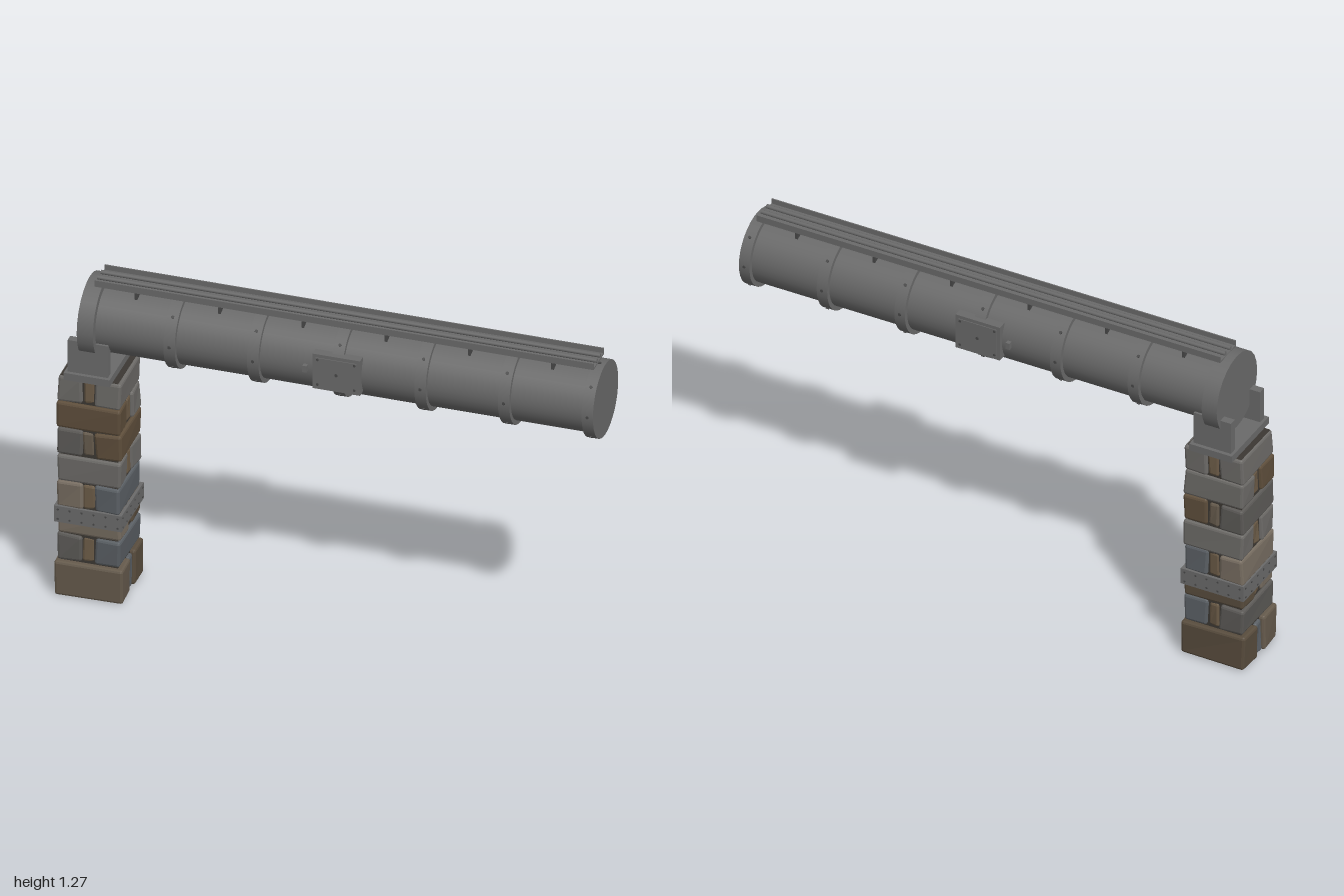
import * as THREE from 'three';
import { RoundedBoxGeometry } from 'three/addons/geometries/RoundedBoxGeometry.js';

const metal = new THREE.MeshStandardMaterial({ color: 0x6a6a6a });
const darkMetal = new THREE.MeshStandardMaterial({ color: 0x484848 });
const mortar = new THREE.MeshStandardMaterial({ color: 0x3c3833 });
const stoneColors = {
  brown: 0x655a4c, umber: 0x5e4e3b, dark: 0x584c3d, beige: 0x766c60,
  grey: 0x6c6a67, ash: 0x5c5a57, slate: 0x5a5f64, tan: 0x6a5a46,
};
const stoneMaterials = {};
for (const [key, color] of Object.entries(stoneColors)) {
  stoneMaterials[key] = new THREE.MeshStandardMaterial({ color, flatShading: true });
}

let seed = 7;
function rand() {
  seed = (seed * 16807) % 2147483647;
  return seed / 2147483647;
}

function add(parent, name, geometry, x, y, z, material = metal) {
  const mesh = new THREE.Mesh(geometry, material);
  mesh.name = name;
  mesh.position.set(x, y, z);
  parent.add(mesh);
  return mesh;
}

function box(parent, name, w, h, d, x, y, z, material = metal) {
  return add(parent, name, new THREE.BoxGeometry(w, h, d), x, y, z, material);
}

// Drum lying along x
function drum(parent, name, r, x0, x1, y, z, sides = 32) {
  const geometry = new THREE.CylinderGeometry(r, r, x1 - x0, sides).rotateZ(Math.PI / 2);
  return add(parent, name, geometry, (x0 + x1) / 2, y, z);
}

// Bolt head whose axis points along the given direction
function bolt(parent, position, direction, r = 0.005) {
  const mesh = add(parent, 'bolt', new THREE.CylinderGeometry(r, r, 0.008, 6), ...position, darkMetal);
  mesh.quaternion.setFromUnitVectors(new THREE.Vector3(0, 1, 0), new THREE.Vector3(...direction));
}

// Bevelled stone with its corners pulled slightly out of true
function stone(parent, name, size, position, color) {
  const geometry = new RoundedBoxGeometry(...size, 1, 0.009);
  const pull = Array.from({ length: 8 }, () => [0, 0, 0].map(() => (rand() - 0.5) * 0.008));
  const p = geometry.attributes.position;
  for (let i = 0; i < p.count; i++) {
    const v = [p.getX(i), p.getY(i), p.getZ(i)];
    const corner = (v[0] > 0 ? 1 : 0) + (v[1] > 0 ? 2 : 0) + (v[2] > 0 ? 4 : 0);
    p.setXYZ(i, ...v.map((c, k) => c + pull[corner][k] * (k === 1 ? 0.4 : 1)));
  }
  geometry.computeVertexNormals();
  add(parent, name, geometry, ...position, stoneMaterials[color]);
}

const PX = -0.871;  // pillar axis
const PY = 1.097;   // pipe axis height

function createPillar() {
  const pillar = new THREE.Group();
  pillar.name = 'stonePillar';
  // Mortar core closing the joints
  box(pillar, 'mortarCore', 0.212, 0.886, 0.212, PX, 0.449, 0, mortar);

  // [bottom, top, +side stone, -side stone, filler]; the split alternates between z and x
  const courses = [
    [0.003, 0.141, 'brown', 'dark', 'slate'],
    [0.145, 0.25, 'slate', 'ash', 'tan'],
    [0.254, 0.356, 'beige', 'dark', 'tan'],
    [0.36, 0.463, 'slate', 'beige', 'tan'],
    [0.467, 0.571, 'grey', 'grey', 'tan'],
    [0.575, 0.678, 'umber', 'ash', 'brown'],
    [0.682, 0.785, 'umber', 'grey', 'tan'],
    [0.789, 0.891, 'grey', 'grey', 'tan'],
  ];
  courses.forEach(([y0, y1, plus, minus, fill], i) => {
    const half = i === 0 ? 0.126 : 0.117;
    const h = y1 - y0, y = (y0 + y1) / 2, gap = 0.024, w = half - gap;
    const alongZ = i % 2 === 0;
    const place = (name, width, length, height, offset, color) => stone(pillar, name,
      alongZ ? [length, height, width] : [width, height, length],
      alongZ ? [PX, y, offset] : [PX + offset, y, 0], color);
    place('stone', w, half * 2, h, gap + w / 2, plus);
    place('stone', w, half * 2, h, -gap - w / 2, minus);
    place('fillerStone', 0.042, half * 2 - 0.012, h - 0.008, 0, fill);
  });

  // Riveted iron strap around the pillar
  const strap = new THREE.Group();
  strap.name = 'strap';
  strap.position.set(PX, 0.333, 0);
  pillar.add(strap);
  for (let side = 0; side < 4; side++) {
    const plate = new THREE.Group();
    plate.name = 'strapSide';
    plate.rotation.y = side * Math.PI / 2;
    strap.add(plate);
    box(plate, 'strapPlate', 0.25, 0.064, 0.011, 0, 0, 0.1195);
    for (let i = 0; i < 6; i++) {
      for (const y of [-0.019, 0.019]) bolt(plate, [-0.11 + i * 0.044, y, 0.123], [0, 0, 1], 0.004);
    }
  }
  return pillar;
}

function createSaddle() {
  const saddle = new THREE.Group();
  saddle.name = 'saddle';
  box(saddle, 'basePlate', 0.17, 0.028, 0.276, PX, 0.906, 0);
  for (const s of [-1, 1]) box(saddle, 'cheek', 0.148, 0.13, 0.03, PX, 0.983, s * 0.109);
  return saddle;
}

function createPipe() {
  const pipe = new THREE.Group();
  pipe.name = 'pipe';
  drum(pipe, 'pipeBody', 0.125, -0.87, 0.99, PY, 0);
  drum(pipe, 'endFlange', 0.151, -0.903, -0.843, PY, 0, 24);

  // Bolted bands; the last one closes the free end
  for (let i = 0; i < 6; i++) {
    const x = -0.565 + i * 0.3088;
    drum(pipe, 'band', 0.142, x - 0.021, x + 0.021, PY, 0);
    for (let k = 0; k < 8; k++) {
      const a = k * Math.PI / 4, c = Math.cos(a), s = Math.sin(a);
      bolt(pipe, [x, PY + s * 0.141, c * 0.141], [0, s, c], 0.006);
    }
  }

  // Inspection hatches on both sides
  for (const s of [-1, 1]) {
    const hatch = new THREE.Group();
    hatch.name = 'hatch';
    pipe.add(hatch);
    box(hatch, 'hatchFrame', 0.176, 0.14, 0.034, 0.052, PY + 0.003, s * 0.124);
    box(hatch, 'hatchDoor', 0.15, 0.114, 0.006, 0.052, PY + 0.003, s * 0.141);
    box(hatch, 'latch', 0.016, 0.026, 0.02, -0.066, PY + 0.003, s * 0.13);
    bolt(hatch, [0.052, PY + 0.003, s * 0.143], [0, 0, s]);
    for (const i of [-1, 1]) {
      for (const j of [-1, 1]) bolt(hatch, [0.052 + i * 0.068, PY + 0.003 + j * 0.05, s * 0.143], [0, 0, s]);
    }
  }
  return pipe;
}

function createTray() {
  const tray = new THREE.Group();
  tray.name = 'cableTray';
  const x0 = -0.868, x1 = 0.975, len = x1 - x0, mid = (x0 + x1) / 2;
  box(tray, 'trayFloor', len, 0.006, 0.116, mid, 1.246, 0);
  for (const s of [-1, 1]) {
    box(tray, 'trayLip', len, 0.025, 0.005, mid, 1.2555, s * 0.0565);
    drum(tray, 'conduit', 0.008, x0, x1, 1.259, s * 0.019, 10);
  }
  // Brackets holding the tray off the pipe
  for (let i = 0; i < 6; i++) box(tray, 'trayBracket', 0.01, 0.046, 0.1, -0.717 + i * 0.3075, 1.222, 0, darkMetal);
  return tray;
}

export function createModel() {
  const model = new THREE.Group();
  model.name = 'pipeOnPillar';
  model.add(createPillar(), createSaddle(), createPipe(), createTray());
  return model;
}
